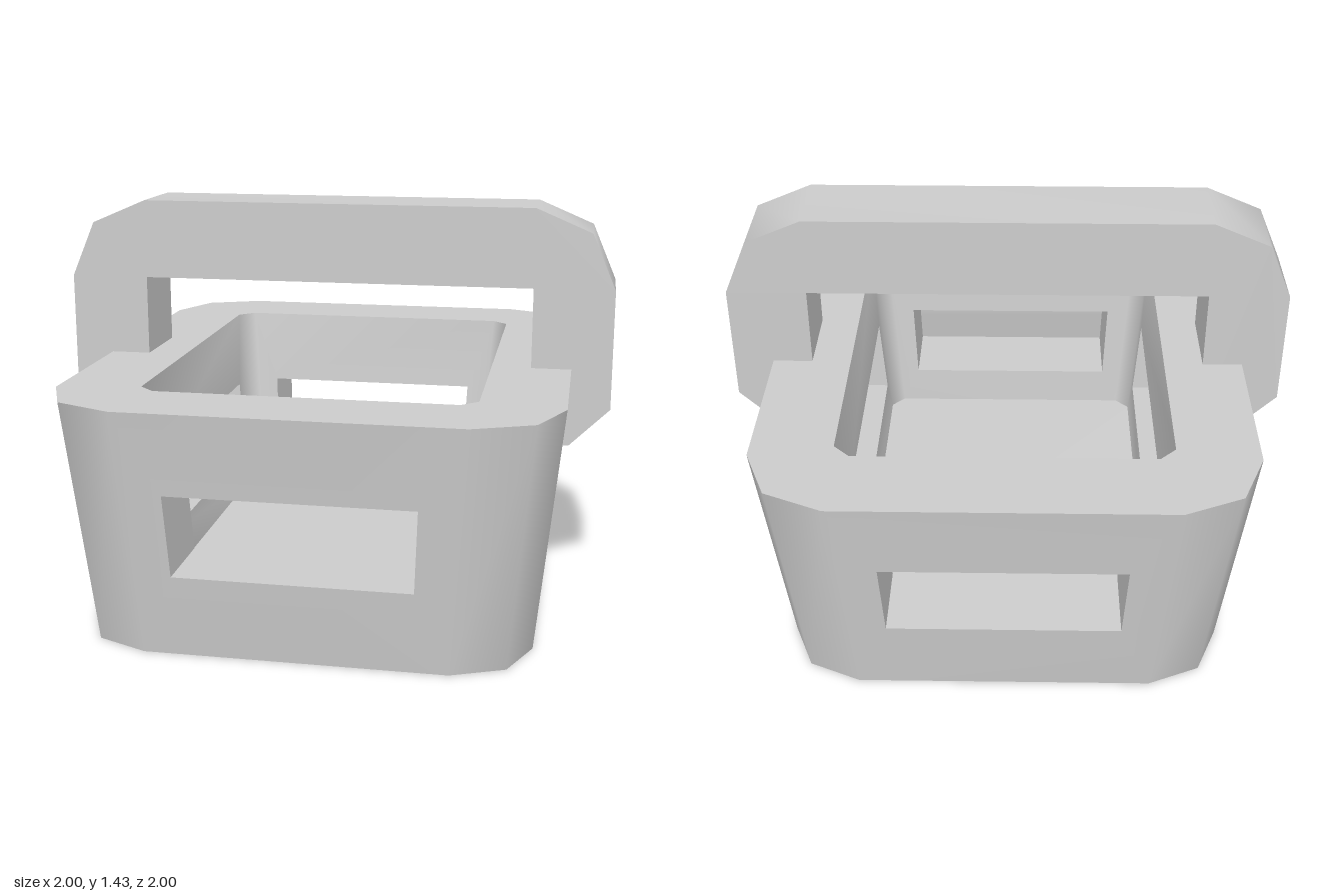
import * as THREE from 'three';
import { toCreasedNormals } from 'three/addons/utils/BufferGeometryUtils.js';

const H = 0.857, FLOOR = 0.143, SILL = 0.286, LINTEL = 0.575, CREASE = 0.87;
// Both shells shrink to 90% at their lower end
const outerScale = (y) => 0.9 + 0.1 * y / H;
const innerScale = (y) => 0.9 + 0.1 * (y - FLOOR) / (H - FLOOR);
const pts = (list) => list.map(([x, y]) => new THREE.Vector2(x, y));

// Wall data: half width, distance from centre, corner middle point, window half widths
const walls = [
  { out: [0.571, 1], inn: [0.517, 0.714], mid: [0.772, 0.914], win: [0.402, 0.415] },
  { out: [0.714, 0.857], inn: [0.66, 0.573], mid: [0.914, 0.772], win: [0.536, 0.556] },
];

function basketGeometry() {
  const pos = [];
  const tri = (a, b, c, flip) => { for (const p of flip ? [a, c, b] : [a, b, c]) pos.push(...p); };
  const quad = (a, b, c, d, flip) => { tri(a, b, c, flip); tri(a, c, d, flip); };
  // Triangulate an outline with holes and place each point by a rule
  const fill = (outline, holes, place, flip) => {
    const shape = new THREE.Shape(pts(outline));
    holes.forEach((h) => shape.holes.push(new THREE.Path(pts(h))));
    const g = new THREE.ShapeGeometry(shape);
    const p = g.attributes.position, ix = g.index.array;
    const at = (i) => place(p.getX(ix[i]), p.getY(ix[i]));
    for (let i = 0; i < ix.length; i += 3) tri(at(i), at(i + 1), at(i + 2), flip);
  };
  const rimOut = [], rimIn = [];

  for (let k = 0; k < 4; k++) {
    const wall = walls[k % 2], next = walls[(k + 1) % 2];
    const c = [1, 0, -1, 0][k], s = [0, 1, 0, -1][k];
    const turn = (u, y, d) => [u * c + d * s, y, -u * s + d * c];
    const [w0, w1] = wall.win;
    const hole = [[-w0, SILL], [w0, SILL], [w1, LINTEL], [-w1, LINTEL]];

    const shell = (key, scale, y0, flip, rim) => {
      const [w, d] = wall[key];
      const e = w * scale(y0);
      // Wall panel with its window
      fill([[-e, y0], [e, y0], [w, H], [-w, H]], [hole], (u, y) => turn(u, y, d * scale(y)), flip);
      // Corner facets
      const chain = [[w, d], ...(key === 'out' ? [wall.mid] : []), [next[key][1], next[key][0]]];
      const at = ([u, v], y) => turn(u * scale(y), y, v * scale(y));
      for (let i = 0; i + 1 < chain.length; i++) {
        quad(at(chain[i], y0), at(chain[i + 1], y0), at(chain[i + 1], H), at(chain[i], H), flip);
      }
      chain.forEach((q) => { const p = at(q, H); rim.push([p[0], -p[2]]); });
    };
    shell('out', outerScale, 0, false, rimOut);
    shell('inn', innerScale, FLOOR, true, rimIn);

    // Window reveals through the wall
    const o = hole.map(([u, y]) => turn(u, y, wall.out[1] * outerScale(y)));
    const n = hole.map(([u, y]) => turn(u, y, wall.inn[1] * innerScale(y)));
    for (let i = 0; i < 4; i++) {
      const j = (i + 1) % 4;
      quad(o[i], o[j], n[j], n[i]);
    }
  }

  // Rim, inner floor and underside
  fill(rimOut, [rimIn], (x, y) => [x, H, -y]);
  fill(rimIn, [], (x, y) => [x * 0.9, FLOOR, -y * 0.9]);
  fill(rimOut, [], (x, y) => [x * 0.9, 0, -y * 0.9], true);

  const g = new THREE.BufferGeometry();
  g.setAttribute('position', new THREE.Float32BufferAttribute(pos, 3));
  return toCreasedNormals(g, CREASE);
}

// Bevelled arch whose legs sink into the side walls
function handleGeometry() {
  const half = [[0.714, 0.575], [0.857, 0.575], [1, 0.715], [1, 1.145], [0.914, 1.345], [0.714, 1.43]];
  const left = half.map(([x, y]) => [-x, y]).reverse();
  const shape = new THREE.Shape(pts([...half, ...left, [-0.714, 1.145], [0.714, 1.145]]));
  const g = new THREE.ExtrudeGeometry(shape, { depth: 0.286, bevelEnabled: false });
  g.translate(0, 0, -0.143);
  return toCreasedNormals(g, CREASE);
}

export function createModel() {
  const grey = new THREE.MeshStandardMaterial({ color: 0xcccccc });
  grey.name = 'light grey';
  const group = new THREE.Group();
  group.name = 'basket';
  const add = (name, geometry) => {
    const mesh = new THREE.Mesh(geometry, grey);
    mesh.name = name;
    group.add(mesh);
  };
  add('basketBody', basketGeometry());
  add('handle', handleGeometry());
  return group;
}
